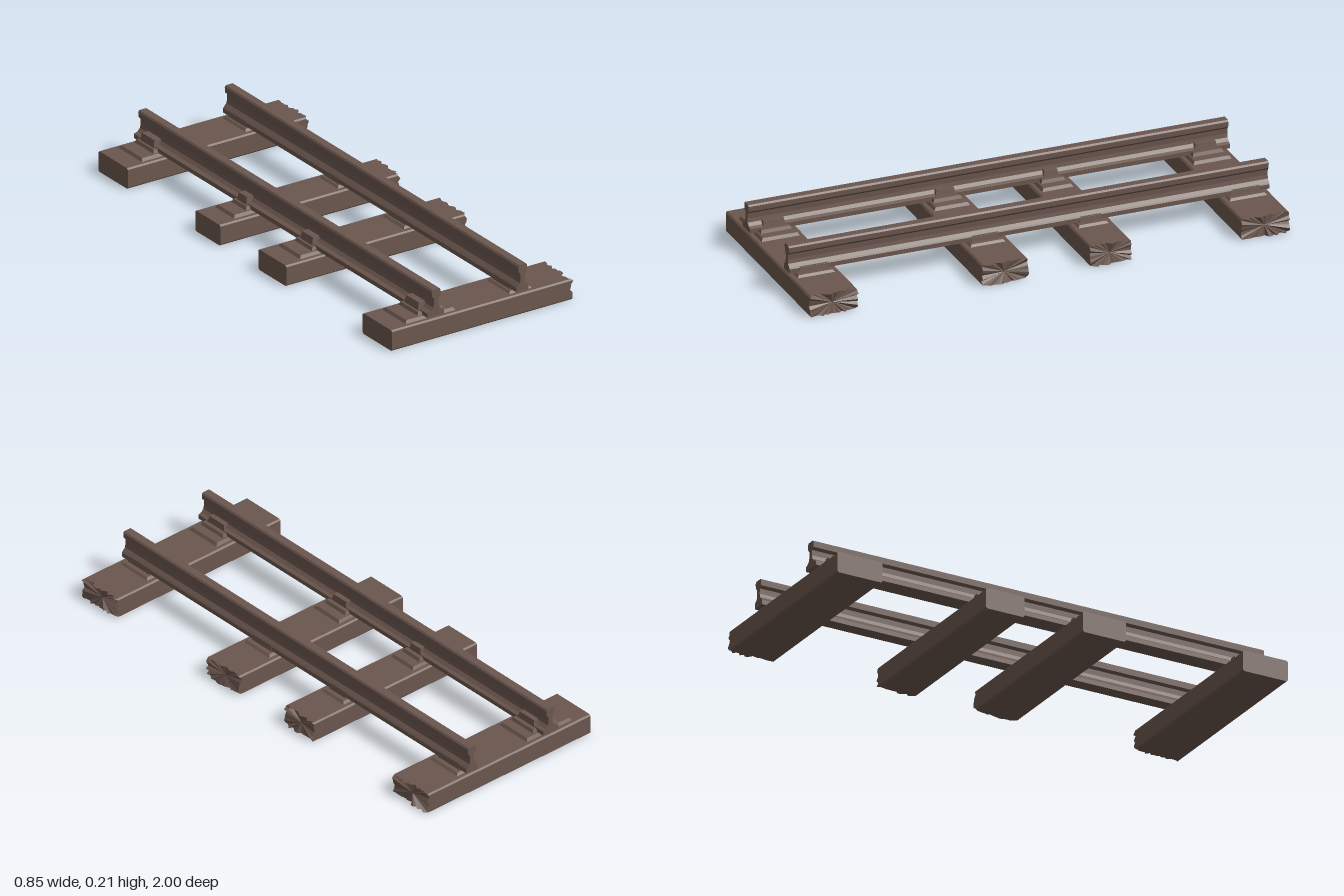
import * as THREE from 'three';

const wood = new THREE.MeshStandardMaterial({ color: 0x6b574e });
wood.name = 'weathered brown';

function add(parent, geometry, name) {
  const mesh = new THREE.Mesh(geometry, wood);
  mesh.name = name;
  parent.add(mesh);
  return mesh;
}

// small seeded generator for the splintered ends
function seeded(seed) {
  return () => {
    seed = (seed * 16807) % 2147483647;
    return seed / 2147483647;
  };
}

// low block whose top edge is drawn in by a slope
function slab(parent, name, x0, x1, y0, y1, z0, z1, slope) {
  const geo = new THREE.BoxGeometry(x1 - x0, y1 - y0, z1 - z0).toNonIndexed();
  const p = geo.attributes.position;
  for (let i = 0; i < p.count; i++) {
    if (p.getY(i) > 0) {
      p.setX(i, p.getX(i) - Math.sign(p.getX(i)) * slope);
      p.setZ(i, p.getZ(i) - Math.sign(p.getZ(i)) * slope);
    }
  }
  geo.translate((x0 + x1) / 2, (y0 + y1) / 2, (z0 + z1) / 2);
  geo.computeVertexNormals();
  return add(parent, geo, name);
}

// sleeper: chamfered section swept along x, splintered at the +x end
function sleeperGeometry(z0, z1, seed) {
  const rand = seeded(seed);
  const h = 0.087, c = 0.006;
  const corners = [
    [z0 + c, 0], [z1 - c, 0], [z1, c], [z1, h - c],
    [z1 - c, h], [z0 + c, h], [z0, h - c], [z0, c],
  ];
  const ring = [];
  corners.forEach((a, i) => {
    const b = corners[(i + 1) % corners.length];
    const n = Math.max(1, Math.round(Math.hypot(b[0] - a[0], b[1] - a[1]) / 0.012));
    for (let k = 0; k < n; k++) {
      ring.push([a[0] + (b[0] - a[0]) * k / n, a[1] + (b[1] - a[1]) * k / n]);
    }
  });
  const loops = [
    ring.map(([z, y]) => [-0.424, y, z]),
    ring.map(([z, y]) => [0.375, y, z]),
    ring.map(([z, y]) => [0.402 + rand() * 0.02, y, z]),
  ];
  const verts = [];
  const tri = (a, b, d) => verts.push(...a, ...b, ...d);
  const mid = (z0 + z1) / 2;
  for (let i = 0; i < ring.length; i++) {
    const j = (i + 1) % ring.length;
    for (let l = 0; l < 2; l++) {
      const [A, B] = [loops[l], loops[l + 1]];
      tri(A[i], B[i], B[j]);
      tri(A[i], B[j], A[j]);
    }
    tri(loops[0][j], [-0.424, h / 2, mid], loops[0][i]);
    tri(loops[2][i], [0.402, h / 2, mid], loops[2][j]);
  }
  const geo = new THREE.BufferGeometry();
  geo.setAttribute('position', new THREE.Float32BufferAttribute(verts, 3));
  geo.computeVertexNormals();
  return geo;
}

// rail: profile with foot, web and head, extruded along z
function railGeometry(x, footLeft, footRight) {
  const half = (foot, s) => [
    [s * foot, 0.098], [s * foot, 0.116], [s * 0.024, 0.122], [s * 0.013, 0.134],
    [s * 0.01, 0.15], [s * 0.011, 0.172], [s * 0.02, 0.182], [s * 0.021, 0.203],
    [s * 0.016, 0.21],
  ];
  const pts = [...half(footRight, 1), ...half(footLeft, -1).reverse()];
  const shape = new THREE.Shape(pts.map(([px, py]) => new THREE.Vector2(x + px, py)));
  const geo = new THREE.ExtrudeGeometry(shape, { depth: 2, bevelEnabled: false });
  geo.translate(0, 0, -1);
  return geo;
}

export function createModel() {
  const track = new THREE.Group();
  track.name = 'railwayTrack';

  add(track, railGeometry(-0.218, 0.041, 0.037), 'leftSideRail');
  add(track, railGeometry(0.185, 0.029, 0.028), 'rightSideRail');

  const sleepers = [[0.8, 1], [0.09, 0.28], [-0.34, -0.17], [-1, -0.8]];
  sleepers.forEach(([z0, z1], i) => {
    const group = new THREE.Group();
    group.name = 'sleeper' + (i + 1);
    track.add(group);
    add(group, sleeperGeometry(z0, z1, 101 + i * 37), 'sleeperBeam');

    // wide chair with its raised clamps
    const a = z0 + 0.016, b = z1 - 0.016;
    slab(group, 'widePlate', -0.35, -0.11, 0.08, 0.099, a, b, 0.012);
    slab(group, 'plateStep', -0.285, -0.155, 0.09, 0.112, a + 0.015, b - 0.015, 0.01);
    slab(group, 'outerClamp', -0.268, -0.225, 0.1, 0.143, a + 0.035, b - 0.035, 0.007);
    slab(group, 'innerClamp', -0.214, -0.178, 0.1, 0.138, a + 0.035, b - 0.035, 0.007);

    // narrow chair
    slab(group, 'narrowPlate', 0.132, 0.248, 0.08, 0.096, a, b, 0.014);
    slab(group, 'narrowShoulder', 0.152, 0.218, 0.085, 0.12, a + 0.02, b - 0.02, 0.006);
  });
  return track;
}
